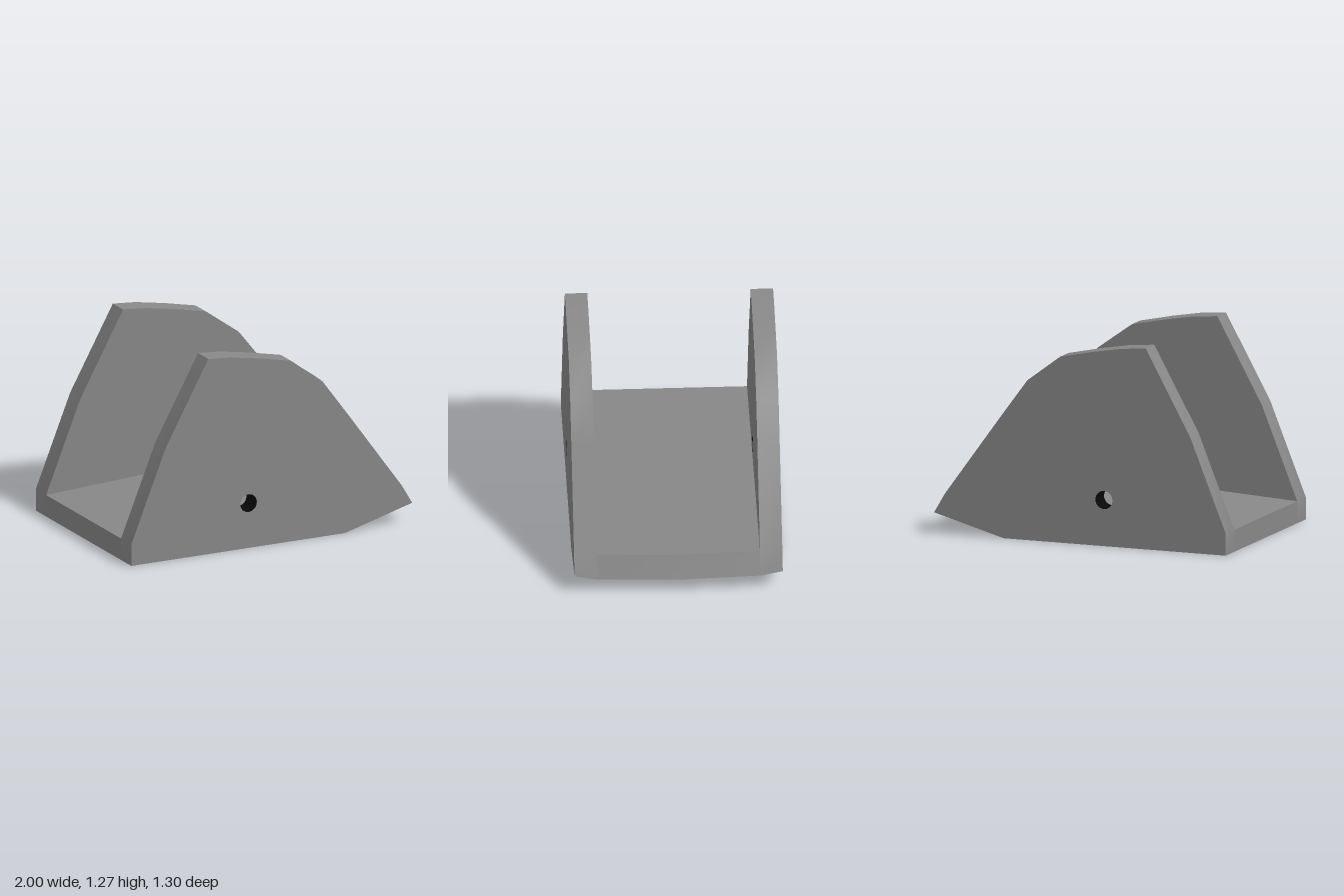
import * as THREE from 'three';
import { toCreasedNormals } from 'three/addons/utils/BufferGeometryUtils.js';

const INNER = 0.51, OUTER = 0.65;
const HOLE = { x: -0.177, y: 0.292, r: 0.058 };
const material = new THREE.MeshStandardMaterial({ color: 0x888888 });
const boreMaterial = new THREE.MeshStandardMaterial({ color: 0x080808, side: THREE.BackSide });

// Side outline: x, y on the outer face, then the x, y shift at the inner face
const outline = [
  [-1, 0], [0.5, 0, -0.008, 0], [0.97, 0.13, 0.006, -0.025], [0.9, 0.25, 0.005, -0.003],
  [0.52, 0.772, 0.013, 0.013], [0.34, 1.015, 0.01, 0], [0.12, 1.18],
  [-0.1, 1.227], [-0.3, 1.262], [-0.46, 1.275], [-0.76, 0.735], [-1, 0.14],
];

const toShape = (pts) => new THREE.Shape(pts.map(([x, y]) => new THREE.Vector2(x, y)));

// Extrude from z0 to z1, then move every vertex by a rule
function extrudeAndMove(shape, z0, z1, steps, rule) {
  const geo = new THREE.ExtrudeGeometry(shape, {
    depth: z1 - z0, steps, bevelEnabled: false, curveSegments: 24,
  });
  geo.translate(0, 0, z0);
  const pos = geo.attributes.position;
  const v = new THREE.Vector3();
  for (let i = 0; i < pos.count; i++) {
    rule(v.fromBufferAttribute(pos, i));
    pos.setXYZ(i, v.x, v.y, v.z);
  }
  geo.deleteAttribute('uv');
  return toCreasedNormals(geo, 0.5);
}

function makeWall(name, z0, z1) {
  const shape = toShape(outline);
  shape.holes.push(new THREE.Path().absarc(HOLE.x, HOLE.y, HOLE.r, 0, Math.PI * 2, true));
  const geo = extrudeAndMove(shape, z0, z1, 1, (v) => {
    if (Math.abs(v.z) > 0.58) return;
    // the front edge leans slightly forward towards the inner face
    const p = outline.find(([x, y]) => Math.hypot(v.x - x, v.y - y) < 1e-3);
    if (p && p.length > 2) { v.x += p[2]; v.y += p[3]; }
  });
  const plate = new THREE.Mesh(geo, material);
  plate.name = 'plate';

  // Dark lining of the pin hole
  const boreGeo = new THREE.CylinderGeometry(HOLE.r - 0.001, HOLE.r - 0.001, z1 - z0, 48, 1, true);
  boreGeo.rotateX(Math.PI / 2);
  const bore = new THREE.Mesh(boreGeo, boreMaterial);
  bore.name = 'pinHole';
  bore.position.set(HOLE.x, HOLE.y, (z0 + z1) / 2);

  const wall = new THREE.Group();
  wall.name = name;
  wall.add(plate, bore);
  return wall;
}

// Sloping floor with a front lip that comes to a shallow point in the middle
function makeFloor() {
  const shape = toShape([[-1, 0], [0.492, 0], [0.976, 0.105], [0.905, 0.245], [-1, 0.14]]);
  const geo = extrudeAndMove(shape, -INNER, INNER, 2, (v) => {
    if (v.x > 0.6) v.x += 0.022 * (1 - Math.abs(v.z) / INNER);
  });
  const mesh = new THREE.Mesh(geo, material);
  mesh.name = 'floor';
  return mesh;
}

export function createModel() {
  const group = new THREE.Group();
  group.name = 'bracket';
  group.add(
    makeFloor(),
    makeWall('frontWall', INNER, OUTER),
    makeWall('backWall', -OUTER, -INNER),
  );
  return group;
}
